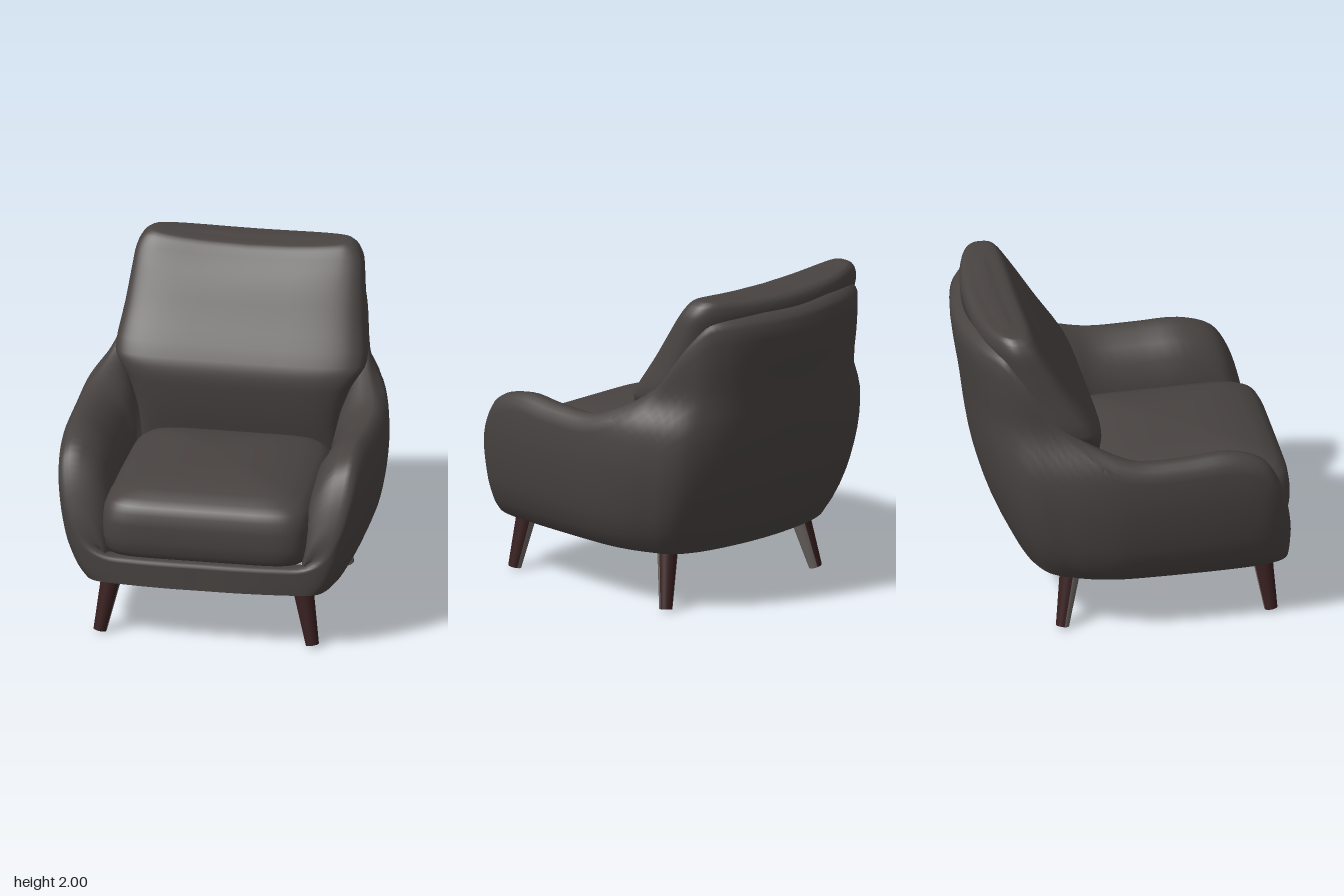
import * as THREE from 'three';
import { toCreasedNormals } from 'three/addons/utils/BufferGeometryUtils.js';

const { lerp, clamp, smoothstep } = THREE.MathUtils;
const BASE = 0.367;

// Smooth lookup in a table of [key, value, ...] rows (cubic through the rows).
function lookup(rows, key, col = 1) {
  const n = rows.length - 1;
  let i = 0;
  while (i < n - 1 && key > rows[i + 1][0]) i++;
  const a = rows[i], b = rows[i + 1], h = b[0] - a[0];
  const t = clamp((key - a[0]) / h, 0, 1);
  const slope = (j) => {
    const p = rows[Math.max(j - 1, 0)], q = rows[Math.min(j + 1, n)];
    return (q[col] - p[col]) / (q[0] - p[0]);
  };
  const t2 = t * t, t3 = t2 * t;
  return (2 * t3 - 3 * t2 + 1) * a[col] + (t3 - 2 * t2 + t) * h * slope(i)
    + (3 * t2 - 2 * t3) * b[col] + (t3 - t2) * h * slope(i + 1);
}

// Skin over closed rings of [x, y, z] points, closed at both ends and facing outward.
function loft(rings, crease = 0.8) {
  const m = rings[0].length, pts = rings.flat(), idx = [];
  for (let i = 0; i < rings.length - 1; i++) {
    for (let j = 0; j < m; j++) {
      const k = (j + 1) % m, a = i * m, b = a + m;
      idx.push(a + j, a + k, b + j, a + k, b + k, b + j);
    }
  }
  [0, rings.length - 1].forEach((r, end) => {
    const c = [0, 1, 2].map((d) => rings[r].reduce((s, p) => s + p[d], 0) / m);
    const ci = pts.push(c) - 1;
    for (let j = 0; j < m; j++) {
      const p = r * m + j, q = r * m + (j + 1) % m;
      idx.push(...(end ? [ci, p, q] : [ci, q, p]));
    }
  });
  const v = pts.map((p) => new THREE.Vector3(...p)), w = new THREE.Vector3();
  let volume = 0;
  for (let i = 0; i < idx.length; i += 3) {
    volume += v[idx[i]].dot(w.crossVectors(v[idx[i + 1]], v[idx[i + 2]]));
  }
  if (volume < 0) idx.reverse();
  const g = new THREE.BufferGeometry();
  g.setAttribute('position', new THREE.Float32BufferAttribute(pts.flat(), 3));
  g.setIndex(idx);
  return toCreasedNormals(g, crease);
}

const spow = (v, e) => Math.sign(v) * Math.abs(v) ** e;
const around = (n, fn) => Array.from({ length: n }, (_, i) => fn((i / n) * Math.PI * 2));

// Half-width and back depth of the shell by height.
const WIDTH = [[0.367, 0.78], [0.42, 0.825], [0.5, 0.865], [0.6, 0.9], [0.8, 0.935], [1, 0.945],
  [1.2, 0.918], [1.35, 0.835], [1.6, 0.825], [1.9, 0.8]];
const DEPTH = [[0.367, 0.64], [0.6, 0.75], [0.8, 0.82], [1, 0.87], [1.4, 0.93], [1.82, 0.987], [1.9, 0.95]];

// Shell plan, from back centre round the arm to front centre: relative x, rim height, relative z.
const PLAN = [[0, 1.885, -1], [0.32, 1.89, -0.975], [0.6, 1.89, -0.91], [0.77, 1.875, -0.82],
  [0.85, 1.76, -0.72], [0.9, 1.56, -0.59], [0.95, 1.37, -0.43], [0.99, 1.25, -0.2], [1, 1.2, 0],
  [1, 1.2, 0.3], [0.99, 1.21, 0.58], [0.97, 1.14, 0.79], [0.94, 1, 0.89], [0.89, 0.78, 0.96],
  [0.82, 0.61, 0.99], [0.7, 0.545, 1.005], [0.5, 0.535, 1.02], [0.25, 0.535, 1.03], [0, 0.535, 1.03]];

function outer(s, y) {
  const z = s.z < 0 ? s.z * lookup(DEPTH, y) : s.z * 0.95;
  return [s.x * lookup(WIDTH, y), y, z];
}

function shellStations() {
  const half = PLAN.map((p) => new THREE.Vector3(...p));
  const other = half.slice(1).map((p) => new THREE.Vector3(-p.x, p.y, p.z));
  return new THREE.CatmullRomCurve3([...half.reverse(), ...other]).getPoints(144);
}

// Rolled rim: [inset, drop] from outside to inside.
const RIM = [[0.01, 0.032], [0.03, 0.008], [0.06, 0], [0.13, 0.02], [0.205, 0.08], [0.265, 0.17], [0.305, 0.32]];

function shellSection(s) {
  const h = s.y, k = clamp((h - BASE) / 0.5, 0.1, 1), ring = [];
  for (let i = 0; i <= 16; i++) ring.push(outer(s, lerp(BASE, h - 0.06 * k, i / 16)));
  const top = outer(s, h);
  // The wall thickens sideways on the arms and fore-and-aft on the back and front rail.
  const front = s.z > 0 ? 1 - smoothstep(Math.abs(s.x), 0.6, 0.9) : 0;
  const back = smoothstep(-s.z, 0.25, 0.6);
  const dir = new THREE.Vector2(-s.x * (1 - front), Math.max(0, -s.z) - front).normalize();
  const arm = clamp((Math.abs(top[0]) - 0.6) / 0.3, 0.2, 1);
  const scale = lerp(lerp(arm, 0.8, front), 0.6, smoothstep(-s.z, 0.25, 0.75));
  const inset = (o, y) => {
    const wall = outer(s, y);
    ring.push([lerp(top[0], wall[0], back) + dir.x * o * scale, y,
      lerp(top[2], wall[2], back) + dir.y * o * scale]);
  };
  RIM.forEach(([o, d]) => inset(o, h - d * k));
  const low = h - 0.32 * k;
  for (let i = 1; i <= 8; i++) inset(0.305, lerp(low, BASE, i / 8));
  return ring;
}

// Seat cushion: [height, plan scale] rings with a crowned top.
function seatGeometry() {
  const rows = [[0.54, 0.9], [0.55, 0.95], [0.59, 0.985], [0.66, 1], [0.76, 1], [0.83, 0.985],
    [0.875, 0.95], [0.91, 0.88], [0.945, 0.74], [0.975, 0.52], [0.993, 0.28], [0.998, 0.1]];
  return loft(rows.map(([y, s]) => around(72, (a) => {
    const z = s * spow(Math.sin(a), 0.28);
    return [(0.63 + 0.02 * z) * s * spow(Math.cos(a), 0.28), y, 0.35 + 0.64 * z];
  })));
}

// Back cushion: [height, front z, back z, half-width], flat front and bowed rear.
function backGeometry() {
  const rows = [[0.8, -0.25, -0.5, 0.6], [1, -0.2, -0.6, 0.62], [1.2, -0.17, -0.7, 0.68],
    [1.28, -0.172, -0.73, 0.725], [1.36, -0.2, -0.76, 0.765], [1.6, -0.355, -0.84, 0.73],
    [1.8, -0.48, -0.885, 0.705], [1.9, -0.545, -0.905, 0.69], [1.96, -0.585, -0.9, 0.66],
    [1.99, -0.615, -0.88, 0.625], [2, -0.65, -0.85, 0.58], [2.003, -0.71, -0.8, 0.45]];
  const rings = [];
  for (let i = 0; i < rows.length - 1; i++) {
    for (let j = 0; j < 3; j++) rings.push(lerp(rows[i][0], rows[i + 1][0], j / 3));
  }
  rings.push(2.003);
  return loft(rings.map((y) => {
    const [f, b, w] = [1, 2, 3].map((c) => lookup(rows, y, c));
    const mid = lerp(f, b, 0.38);
    return around(72, (a) => {
      const c = Math.cos(a), s = Math.sin(a);
      const x = w * spow(c, s > 0 ? 0.4 : 0.9);
      const z = s > 0 ? mid + (f - mid) * s ** 0.45 : mid - (mid - b) * Math.abs(s) ** 0.9;
      const dip = 0.035 * smoothstep(y, 1.7, 2) * Math.max(0, 1 - (x / 0.58) ** 2);
      return [x, y - dip, z];
    });
  }));
}

export function createModel() {
  const material = (name, color) => {
    const m = new THREE.MeshStandardMaterial({ color });
    m.name = name;
    return m;
  };
  const fabric = material('charcoal fabric', 0x484341);
  const wood = material('dark red wood', 0x392020);
  const worn = material('grey wood', 0x6c6562);

  const chair = new THREE.Group();
  chair.name = 'armchair';
  const add = (name, geometry, mat, parent = chair) => {
    const mesh = new THREE.Mesh(geometry, mat);
    mesh.name = name;
    parent.add(mesh);
    return mesh;
  };

  // Upholstered shell with back, arms and front rail, and its flat underside
  const stations = shellStations();
  add('shell', loft(stations.map(shellSection)), fabric);
  const outline = stations.slice(1).map((s) => outer(s, BASE)).map(([x, , z]) => new THREE.Vector2(x, z));
  add('underside', new THREE.ShapeGeometry(new THREE.Shape(outline)).rotateX(Math.PI / 2), fabric)
    .position.y = BASE - 0.001;

  add('seatCushion', seatGeometry(), fabric);
  add('backCushion', backGeometry(), fabric);

  // Splayed tapered legs, red outside and grey on the inward side
  const up = new THREE.Vector3(0, 1, 0);
  const leg = (name, top, foot, facing, arc) => {
    const axis = top.clone().sub(foot), length = axis.length();
    const group = new THREE.Group();
    group.name = name;
    group.position.copy(foot).addScaledVector(axis, 0.5);
    group.quaternion.setFromUnitVectors(up, axis.normalize());
    const part = (label, mat, start, sweep) => add(label,
      new THREE.CylinderGeometry(0.066, 0.04, length, 16, 1, false, start, sweep), mat, group);
    part('legOuterSide', wood, facing - arc / 2, arc);
    part('legInnerSide', worn, facing + arc / 2, Math.PI * 2 - arc);
    chair.add(group);
  };
  for (const s of [1, -1]) {
    const side = s > 0 ? 'Left' : 'Right';
    leg(`front${side}Leg`, new THREE.Vector3(0.575 * s, 0.4, 0.785), new THREE.Vector3(0.648 * s, 0.008, 0.835),
      s * Math.PI / 4, Math.PI * 1.25);
    leg(`rear${side}Leg`, new THREE.Vector3(0.545 * s, 0.4, -0.365), new THREE.Vector3(0.635 * s, 0.008, -0.437),
      s * Math.PI * 0.8, Math.PI * 0.68);
  }
  return chair;
}
